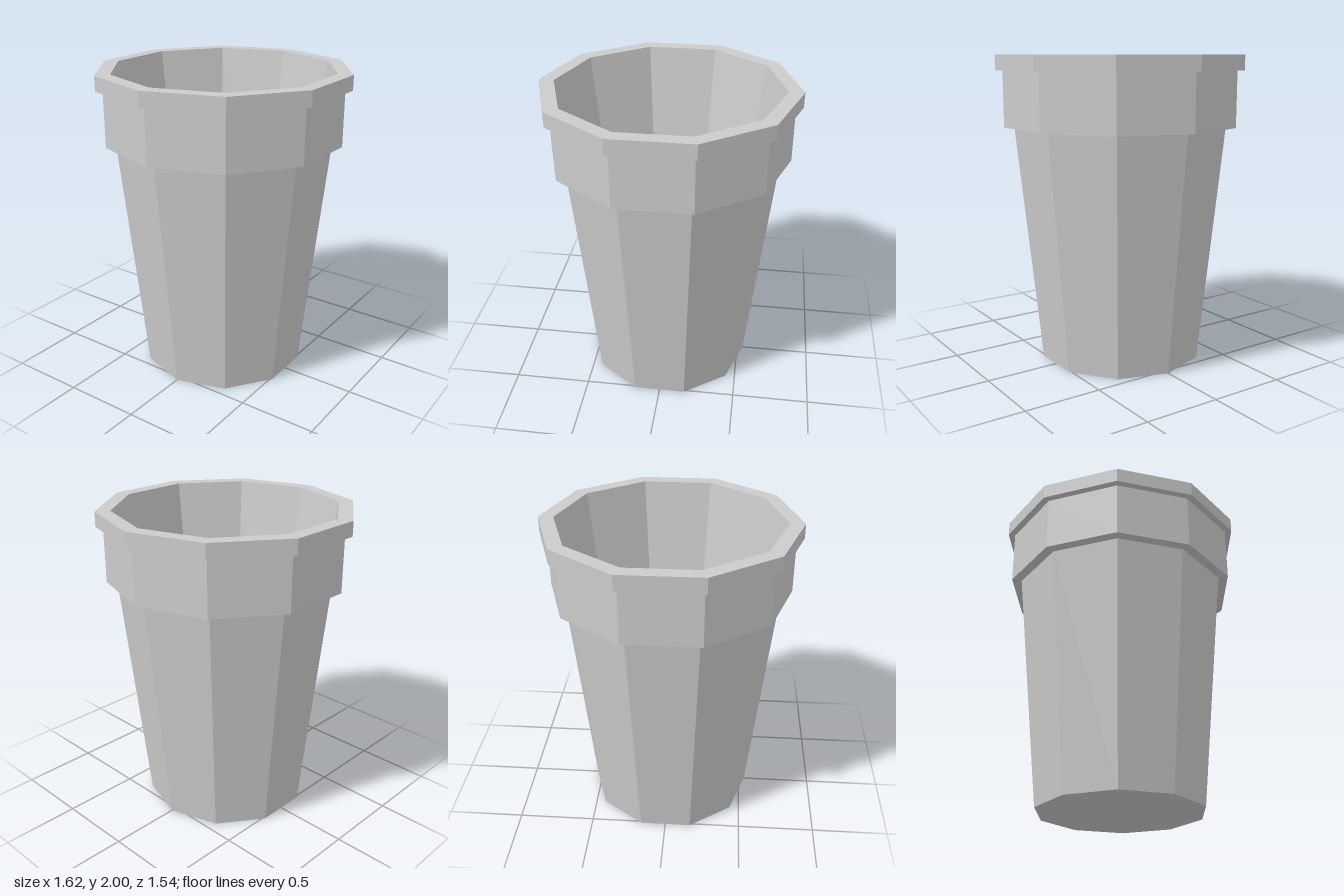
import * as THREE from 'three';

const SIDES = 10;

// Ten-sided turned part with a corner on the x axis
function turned(name, profile, material) {
  const points = profile.map(([r, y]) => new THREE.Vector2(r, y));
  const geometry = new THREE.LatheGeometry(points, SIDES, Math.PI / 2).toNonIndexed();
  geometry.computeVertexNormals();
  const mesh = new THREE.Mesh(geometry, material);
  mesh.name = name;
  return mesh;
}

export function createModel() {
  const group = new THREE.Group();
  group.name = 'cup';
  const material = new THREE.MeshStandardMaterial({ color: 0xcccccc, flatShading: true });

  // Tapered outer wall with closed base
  group.add(turned('body', [[0, 0], [0.54, 0], [0.7, 1.55]], material));

  // Collar around the upper part, with its underside step
  group.add(turned('collar', [[0.7, 1.55], [0.765, 1.55], [0.765, 1.905]], material));

  // Projecting lip and flat top edge
  group.add(turned('rim', [[0.765, 1.905], [0.81, 1.905], [0.81, 2], [0.715, 2]], material));

  // Hollow inside, down to the floor
  group.add(turned('interior', [[0.715, 2], [0.445, 0.1], [0, 0.1]], material));

  return group;
}
